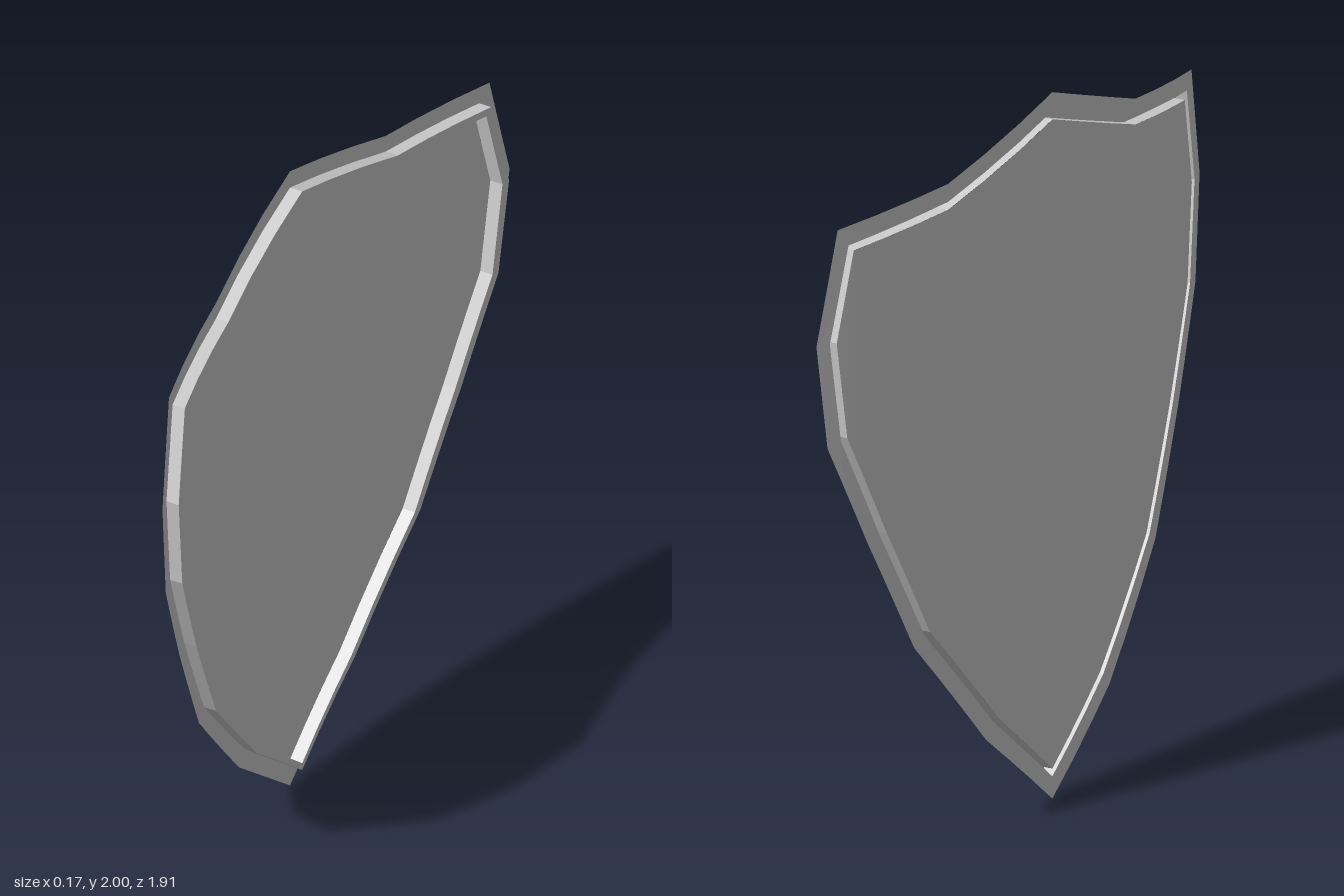
import * as THREE from 'three';

// Half outlines as [z, y], from top centre round to the bottom tip
const OUTER = [[0, 2], [0.466, 1.855], [0.88, 1.816], [0.953, 1.5], [0.915, 1.205], [0.775, 0.91], [0.6, 0.572], [0.307, 0.243], [0, 0]];
const RIDGE = [[0, 1.947], [0.466, 1.804], [0.841, 1.768], [0.907, 1.497], [0.868, 1.215], [0.727, 0.915], [0.56, 0.598], [0.27, 0.28], [0, 0.063]];
const INNER = [[0, 1.923], [0.466, 1.782], [0.823, 1.747], [0.883, 1.496], [0.846, 1.22], [0.703, 0.92], [0.538, 0.603], [0.253, 0.292], [0, 0.085]];
const WIDEST = 3; // index of the widest outline point
const RIDGE_HEIGHT = 0.038;

// Bow of the shield: x depends on z only
const bow = (z) => -0.087 + 0.143 * (z / 0.953) ** 2;

// Split each edge so that it follows the bow
function subdivide(points, n = 3) {
  const out = [];
  for (let i = 0; i < points.length - 1; i++) {
    const [a, b] = [points[i], points[i + 1]];
    for (let k = 0; k < n; k++) {
      const t = k / n;
      out.push([a[0] + (b[0] - a[0]) * t, a[1] + (b[1] - a[1]) * t]);
    }
  }
  out.push(points[points.length - 1]);
  return out;
}

// Closed ring of 3D points, lifted from the bowed sheet by lift
function ring(half, lift) {
  const side = subdivide(half);
  const mirrored = side.slice(1, -1).reverse().map(([z, y]) => [-z, y]);
  return [...side, ...mirrored].map(([z, y]) => [bow(z) + lift, y, z]);
}

// Flat-shaded band between two rings
function band(a, b) {
  const pos = [];
  for (let i = 0; i < a.length; i++) {
    const j = (i + 1) % a.length;
    pos.push(...a[i], ...a[j], ...b[j], ...a[i], ...b[j], ...b[i]);
  }
  const geo = new THREE.BufferGeometry();
  geo.setAttribute('position', new THREE.Float32BufferAttribute(pos, 3));
  geo.computeVertexNormals();
  return geo;
}

// Height of an outline piece at a given z
function heightAt(piece, z) {
  for (let i = 0; i < piece.length - 1; i++) {
    const [a, b] = [piece[i], piece[i + 1]];
    if (z >= Math.min(a[0], b[0]) - 1e-9 && z <= Math.max(a[0], b[0]) + 1e-9) {
      return a[1] + (b[1] - a[1]) * (z - a[0]) / (b[0] - a[0]);
    }
  }
  return piece[0][1];
}

// Smooth bowed panel made of upright columns
function panel(half) {
  const top = half.slice(0, WIDEST + 1);
  const bottom = half.slice(WIDEST);
  const zs = [...new Set(subdivide(half).flatMap(([z]) => [+z.toFixed(4), -z.toFixed(4) || 0]))].sort((a, b) => a - b);
  const pos = [];
  const index = [];
  zs.forEach((z, i) => {
    const az = Math.abs(z);
    pos.push(bow(z), heightAt(top, az), z, bow(z), heightAt(bottom, az), z);
    if (i > 0) {
      const [t0, b0, t1, b1] = [2 * i - 2, 2 * i - 1, 2 * i, 2 * i + 1];
      index.push(t0, t1, b1, t0, b1, b0);
    }
  });
  const geo = new THREE.BufferGeometry();
  geo.setAttribute('position', new THREE.Float32BufferAttribute(pos, 3));
  geo.setIndex(index);
  geo.computeVertexNormals();
  return geo;
}

export function createModel() {
  const group = new THREE.Group();
  group.name = 'shield';
  const steel = new THREE.MeshStandardMaterial({ color: 0xcccccc, side: THREE.DoubleSide });
  steel.name = 'steel grey';

  const add = (name, geo) => {
    const mesh = new THREE.Mesh(geo, steel);
    mesh.name = name;
    group.add(mesh);
  };

  // Rim, pressed ridge running round it, and main face
  add('rim', band(ring(OUTER, 0), ring(RIDGE, 0)));
  add('ridgeOuterWall', band(ring(RIDGE, 0), ring(RIDGE, RIDGE_HEIGHT)));
  add('ridgeTop', band(ring(RIDGE, RIDGE_HEIGHT), ring(INNER, RIDGE_HEIGHT)));
  add('ridgeInnerWall', band(ring(INNER, RIDGE_HEIGHT), ring(INNER, 0)));
  add('facePanel', panel(INNER));
  return group;
}
